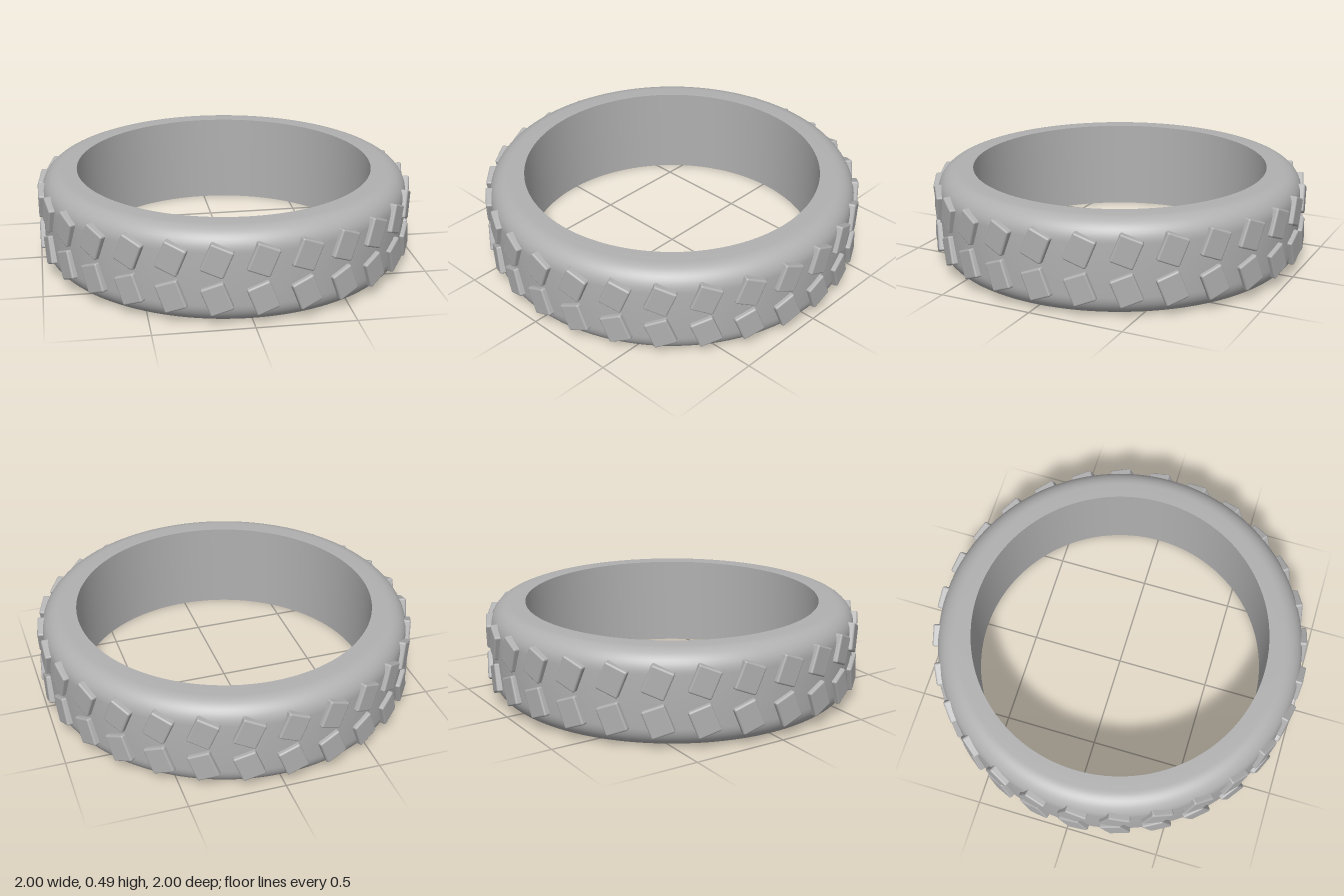
import * as THREE from 'three';
import { toCreasedNormals } from 'three/addons/utils/BufferGeometryUtils.js';
import { RoundedBoxGeometry } from 'three/addons/geometries/RoundedBoxGeometry.js';

const HEIGHT = 0.49;
const INNER = 0.79;
const OUTER = 0.977;
const SHOULDER = 0.11;
const BLOCKS = 28;

export function createModel() {
  const model = new THREE.Group();
  model.name = 'tire';
  const rubber = new THREE.MeshStandardMaterial({ color: 0xb0b0b0 });
  rubber.name = 'grey rubber';

  // Ring: flat sidewalls, rounded outer shoulders and a straight sharp-edged bore
  const profile = [new THREE.Vector2(INNER, 0)];
  const addShoulder = (y, startAngle) => {
    for (let i = 0; i <= 10; i++) {
      const a = startAngle + (i / 10) * Math.PI / 2;
      profile.push(new THREE.Vector2(
        OUTER - SHOULDER + SHOULDER * Math.cos(a), y + SHOULDER * Math.sin(a)));
    }
  };
  addShoulder(SHOULDER, -Math.PI / 2);
  addShoulder(HEIGHT - SHOULDER, 0);
  profile.push(new THREE.Vector2(INNER, HEIGHT), new THREE.Vector2(INNER, 0));
  const ring = new THREE.Mesh(
    toCreasedNormals(new THREE.LatheGeometry(profile, 128), 0.6), rubber);
  ring.name = 'tireRing';
  model.add(ring);

  // Tread: pairs of slanted blocks forming a chevron, repeated around the ring
  const blockGeometry = new RoundedBoxGeometry(0.12, 0.148, 0.07, 2, 0.01);
  const tread = new THREE.Group();
  tread.name = 'tread';
  for (let i = 0; i < BLOCKS; i++) {
    const pair = new THREE.Group();
    pair.name = 'treadPair';
    pair.rotation.y = (i / BLOCKS) * Math.PI * 2;
    for (const side of [1, -1]) {
      const block = new THREE.Mesh(blockGeometry, rubber);
      block.name = side > 0 ? 'upperTreadBlock' : 'lowerTreadBlock';
      block.position.set(0.037, 0.248 + side * 0.098, 0.965);
      block.rotation.z = -side * 0.38;
      pair.add(block);
    }
    tread.add(pair);
  }
  model.add(tread);
  return model;
}
